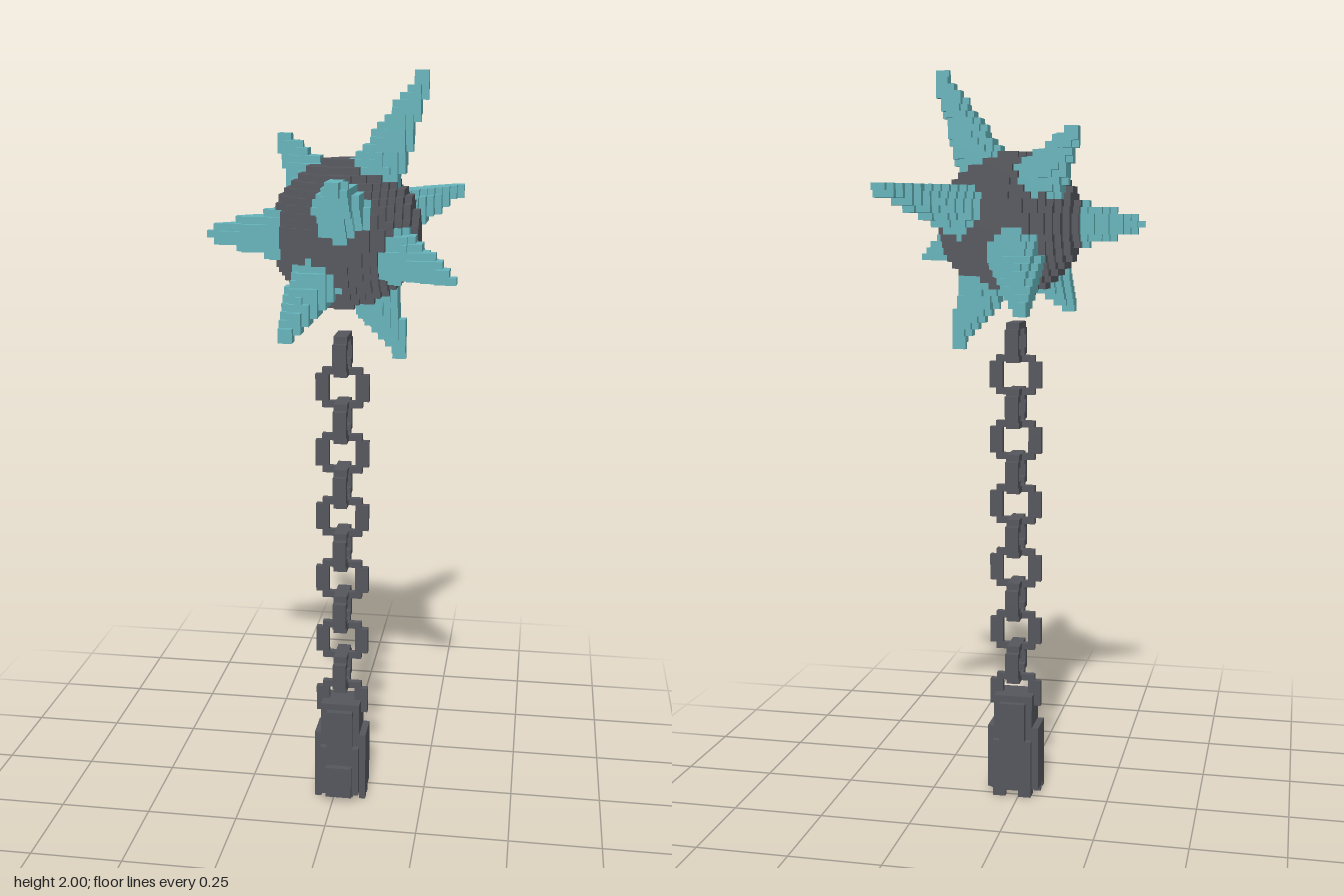
import * as THREE from 'three';

// All parts are carved on one cube grid: 111 cells make the full height.
const V = 2 / 111;

const steel = new THREE.MeshStandardMaterial({ color: 0x55575d });
steel.name = 'dark steel';
const teal = new THREE.MeshStandardMaterial({ color: 0x66b4bb });
teal.name = 'teal crystal';

const key = (x, y, z) => `${x},${y},${z}`;

// Builds the outer cube faces of one part, skipping faces covered by any cell.
function blockGeometry(cells, solid) {
  const pos = [], nor = [], idx = [];
  for (const c of cells) {
    for (let d = 0; d < 3; d++) {
      for (const s of [1, -1]) {
        const n = [0, 0, 0];
        n[d] = s;
        if (solid.has(key(c[0] + n[0], c[1] + n[1], c[2] + n[2]))) continue;
        const u = (d + 1) % 3, v = (d + 2) % 3, base = pos.length / 3;
        for (const [a, b] of [[0, 0], [1, 0], [1, 1], [0, 1]]) {
          const p = [...c];
          p[d] += s > 0 ? 1 : 0;
          p[u] += a;
          p[v] += b;
          pos.push(p[0] * V, p[1] * V, p[2] * V);
          nor.push(...n);
        }
        const order = s > 0 ? [0, 1, 2, 0, 2, 3] : [0, 2, 1, 0, 3, 2];
        idx.push(...order.map((i) => base + i));
      }
    }
  }
  const g = new THREE.BufferGeometry();
  g.setAttribute('position', new THREE.Float32BufferAttribute(pos, 3));
  g.setAttribute('normal', new THREE.Float32BufferAttribute(nor, 3));
  g.setIndex(idx);
  return g;
}

export function createModel() {
  const group = new THREE.Group();
  const solid = new Set();
  const parts = [];

  // Starts a part; the returned function fills a cell if it is still free.
  function part(name, material) {
    const cells = [];
    parts.push({ name, material, cells });
    return (x, y, z) => {
      const k = key(x, y, z);
      if (solid.has(k)) return;
      solid.add(k);
      cells.push([x, y, z]);
    };
  }

  function fill(put, [x0, x1], [y0, y1], [z0, z1], test = () => true) {
    for (let x = x0; x < x1; x++)
      for (let y = y0; y < y1; y++)
        for (let z = z0; z < z1; z++) if (test(x, y, z)) put(x, y, z);
  }

  // Spikes: tapered rods pointing straight out of the ball
  const centre = new THREE.Vector3(1.5, 88.5, 2);
  const tips = [
    [12.5, 110.5, 2.5], [-9.5, 101.5, -7.5], [16.5, 93.5, -17.5],
    [-17.5, 88.5, 5.5], [17.5, 83.5, 12.5], [-5.5, 75.5, 15.5],
    [9.5, 70.5, -0.5], [2.5, 96.5, 19.5], [-4.5, 76.5, -19.5],
  ];
  tips.forEach((t, i) => {
    const put = part('spike' + (i + 1), teal);
    const tip = new THREE.Vector3(...t);
    const dir = tip.clone().sub(centre);
    const len = dir.length();
    dir.normalize();
    const p = new THREE.Vector3(), q = new THREE.Vector3();
    fill(put, [-18, 18], [70, 111], [-20, 20], (x, y, z) => {
      p.set(x + 0.5, y + 0.5, z + 0.5);
      const along = Math.min(q.copy(p).sub(centre).dot(dir), len);
      if (along < 7) return false;
      const r = THREE.MathUtils.mapLinear(along, 9, len, 3.9, 0.85);
      return q.copy(centre).addScaledVector(dir, along).distanceTo(p) < r;
    });
  });

  // Ball
  fill(part('ball', steel), [-10, 13], [77, 100], [-9, 13], (x, y, z) =>
    Math.hypot(x + 0.5 - centre.x, y + 0.5 - centre.y, z + 0.5 - centre.z) < 10.49);

  // Chain: side-facing and front-facing links in turn
  const sideLink = ['.XXXXX.', 'XX...XX', 'X.....X', 'X.....X', 'XX...XX', '.XXXXX.'];
  const frontLink = ['.XXXXXX.', 'XX....XX', 'XX....XX', 'XX....XX', 'XX....XX', '.XXXXXX.'];
  for (let k = 0; k < 6; k++) {
    const putSide = part('sideLink' + (k + 1), steel);
    fill(putSide, [0, 2], [68 - 10 * k, 74 - 10 * k], [-1, 6],
      (x, y, z) => sideLink[y - 68 + 10 * k][z + 1] === 'X');
    const putFront = part('frontLink' + (k + 1), steel);
    fill(putFront, [-3, 5], [63 - 10 * k, 69 - 10 * k], [2, 3],
      (x, y) => frontLink[y - 63 + 10 * k][x + 3] === 'X');
  }

  // Handle: a grip with side ribs, a front ledge and a toothed, hollow foot
  const grip = part('handle', steel);
  const notHollow = (x, y, z) => y > 2 || x < 0 || x > 1 || z < 1 || z > 3;
  fill(grip, [-2, 4], [1, 16], [0, 5], notHollow);
  fill(grip, [-1, 3], [1, 15], [-1, 6], notHollow);
  fill(grip, [-3, 5], [1, 11], [0, 5], notHollow);
  fill(grip, [-2, 4], [1, 9], [-1, 6], notHollow);
  fill(grip, [-1, 3], [1, 6], [6, 7]);
  const teeth = part('handleTeeth', steel);
  for (const x of [-3, -1, 2, 4])
    for (const z of [-1, 2, 4])
      if (solid.has(key(x, 1, z))) fill(teeth, [x, x + 1], [0, 1], [z, z + 1]);
  for (const x of [-2, 3]) fill(teeth, [x, x + 1], [0, 1], [-1, 1]);

  for (const { name, material, cells } of parts) {
    const mesh = new THREE.Mesh(blockGeometry(cells, solid), material);
    mesh.name = name;
    group.add(mesh);
  }
  return group;
}
